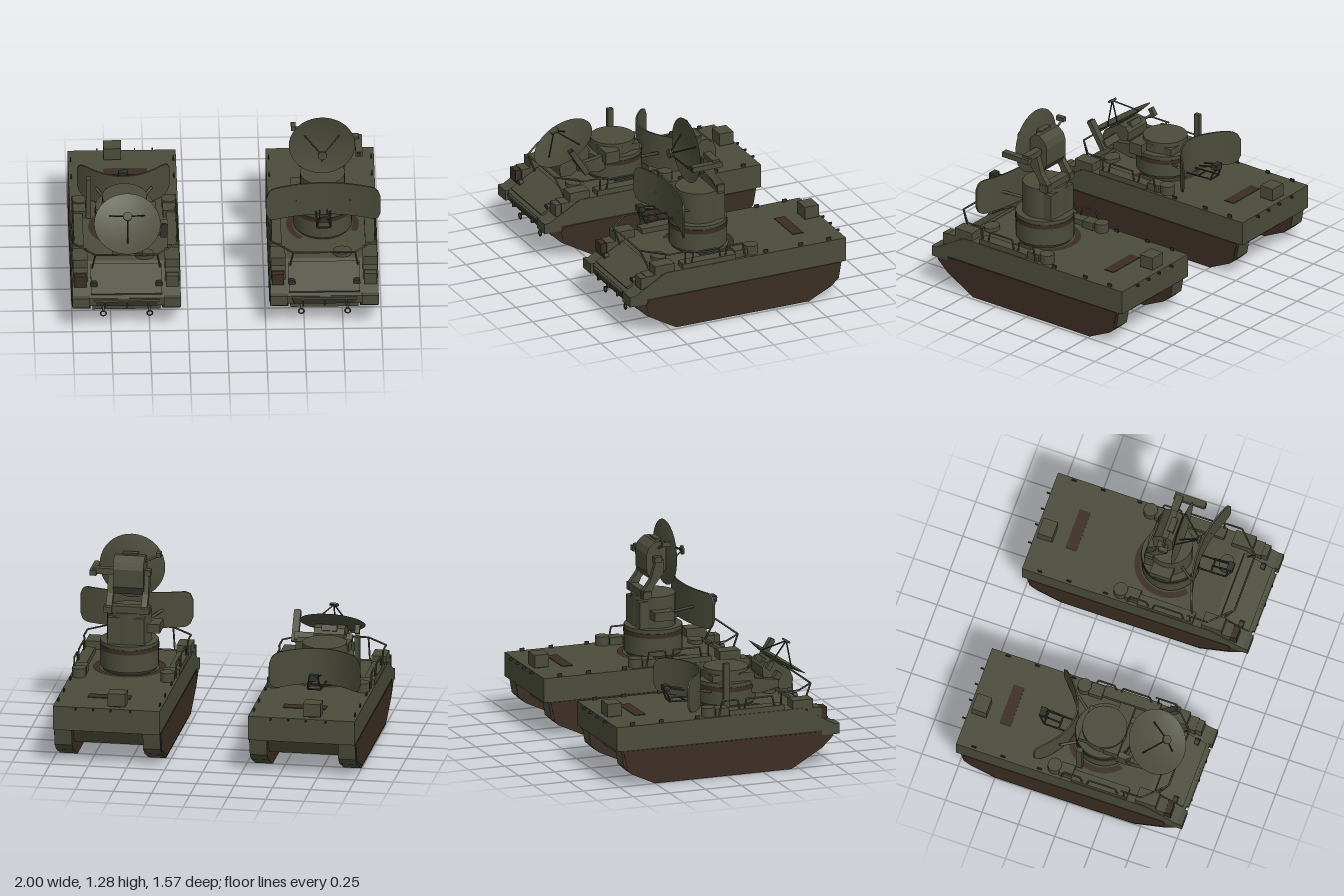
import * as THREE from 'three';

const mat = (name, color) => {
  const m = new THREE.MeshStandardMaterial({ color, side: THREE.DoubleSide });
  m.name = name;
  return m;
};
const olive = mat('olive', 0x4b4c3b);
const brown = mat('brown', 0x3b2d23);
const dark = mat('dark olive', 0x30312a);

function add(parent, name, geometry, material, x = 0, y = 0, z = 0) {
  const m = new THREE.Mesh(geometry, material);
  m.name = name;
  m.position.set(x, y, z);
  parent.add(m);
  return m;
}

// box given by its min and max on each axis
function box(parent, name, x0, x1, y0, y1, z0, z1, material = olive) {
  return add(parent, name, new THREE.BoxGeometry(x1 - x0, y1 - y0, z1 - z0), material,
    (x0 + x1) / 2, (y0 + y1) / 2, (z0 + z1) / 2);
}

// side profile of [z, y] points, extruded across x and centred
function sideProfile(points, width) {
  const shape = new THREE.Shape(points.map(p => new THREE.Vector2(...p)));
  const g = new THREE.ExtrudeGeometry(shape, { depth: width, bevelEnabled: false });
  return g.translate(0, 0, -width / 2).rotateY(-Math.PI / 2);
}

// chain of straight tubes through points
function pipe(parent, name, points, r = 0.005, material = olive) {
  for (let i = 1; i < points.length; i++) {
    const a = new THREE.Vector3(...points[i - 1]), b = new THREE.Vector3(...points[i]);
    const m = add(parent, name, new THREE.CylinderGeometry(r, r, a.distanceTo(b), 6), material);
    m.position.copy(a).lerp(b, 0.5);
    m.quaternion.setFromUnitVectors(new THREE.Vector3(0, 1, 0), b.sub(a).normalize());
  }
}

function cylinder(parent, name, r, y0, y1, x, z, material = olive, sides = 32) {
  return add(parent, name, new THREE.CylinderGeometry(r, r, y1 - y0, sides), material, x, (y0 + y1) / 2, z);
}

// hull, tracks and deck fittings
function makeVehicle(name, x) {
  const v = new THREE.Group();
  v.name = name;
  v.position.x = x;
  add(v, 'upperHull', sideProfile([[-0.766, 0.24], [0.66, 0.24], [0.7, 0.205], [0.76, 0.205],
    [0.765, 0.265], [0.525, 0.4], [-0.766, 0.4]], 0.7), olive);
  add(v, 'belly', sideProfile([[-0.7, 0.24], [-0.62, 0.12], [0.62, 0.12], [0.7, 0.22], [0.66, 0.24]], 0.47), olive);
  const track = [[-0.735, 0.24], [-0.715, 0.125], [-0.66, 0.075], [-0.5, 0], [0.45, 0], [0.66, 0.12],
    [0.74, 0.195], [0.72, 0.24]];
  const panel = [[-0.72, 0.235], [-0.69, 0.11], [-0.49, 0.015], [0.44, 0.015], [0.65, 0.14],
    [0.665, 0.2], [0.64, 0.23]];
  for (const s of [-1, 1]) {
    const side = (a, b) => s > 0 ? [a, b] : [-b, -a];
    add(v, 'track', sideProfile(track, 0.114), [brown, olive], s * 0.29);
    add(v, 'trackSkirt', sideProfile(panel, 0.006), brown, s * 0.348);
    box(v, 'frontFender', ...side(0.24, 0.35), 0.205, 0.275, 0.66, 0.783);
    box(v, 'lampBase', ...side(0.25, 0.345), 0.29, 0.395, 0.56, 0.66);
    box(v, 'lampBox', ...side(0.26, 0.34), 0.31, 0.39, 0.63, 0.7, s < 0 ? brown : olive);
    box(v, 'cornerLocker', ...side(0.25, 0.345), 0.39, 0.455, 0.46, 0.6);
    box(v, 'sideLocker', ...side(0.27, 0.345), 0.39, 0.435, 0.02, 0.4);
    cylinder(v, 'ventPot', 0.046, 0.39, 0.46, s * 0.29, -0.11, olive, 20);
    box(v, 'ventBox', ...side(0.25, 0.33), 0.39, 0.45, -0.07, 0.02);
    // headlamps and tow hooks
    const lamp = cylinder(v, 'headlamp', 0.022, 0, 0.03, s * 0.21, 0, dark, 14);
    lamp.position.set(s * 0.21, 0.325, 0.69);
    lamp.rotation.x = Math.PI / 2;
    add(v, 'towHook', new THREE.TorusGeometry(0.018, 0.005, 6, 12), dark, s * 0.15, 0.12, 0.72);
    pipe(v, 'towArm', [[s * 0.15, 0.18, 0.66], [s * 0.15, 0.13, 0.715]], 0.009, dark);
    // side guard rails
    for (const [z0, z1] of [[0.34, 0.12], [0.1, -0.05]])
      pipe(v, 'sideRail', [[s * 0.335, 0.4, z0], [s * 0.335, 0.5, z0 - 0.02],
        [s * 0.335, 0.5, z1 + 0.02], [s * 0.335, 0.4, z1]], 0.006);
    pipe(v, 'railPost', [[s * 0.2, 0.52, 0.64], [s * 0.22, 0.38, 0.58]], 0.006);
    pipe(v, 'railPost', [[s * 0.34, 0.52, 0.38], [s * 0.335, 0.4, 0.38]], 0.006);
    for (const z of [-0.65, -0.45, -0.2]) box(v, 'deckPeg', ...side(0.328, 0.336), 0.4, 0.42, z - 0.015, z + 0.015, dark);
  }
  pipe(v, 'frontRail', [[-0.34, 0.52, 0.36], [-0.34, 0.52, 0.5], [-0.2, 0.52, 0.64], [0.2, 0.52, 0.64],
    [0.34, 0.52, 0.5], [0.34, 0.52, 0.36]], 0.006);
  // nose and sloping front plate
  const vane = box(v, 'frontPlate', -0.23, 0.23, -0.008, 0.008, -0.11, 0.11);
  vane.position.set(0, 0.338, 0.65);
  vane.rotation.x = 0.51;
  box(v, 'noseRecess', -0.2, 0.2, 0.207, 0.245, 0.76, 0.766, dark);
  box(v, 'noseLip', -0.21, 0.21, 0.245, 0.262, 0.755, 0.78);
  box(v, 'noseSill', -0.22, 0.22, 0.12, 0.18, 0.62, 0.67);
  for (const sx of [-0.14, 0, 0.14]) box(v, 'noseBracket', sx - 0.006, sx + 0.006, 0.2, 0.25, 0.755, 0.78, dark);
  // deck hatches, rear box and painted patch
  const hatch = cylinder(v, 'driverHatch', 0.06, 0.4, 0.425, 0.12, 0.47, olive, 20);
  hatch.scale.z = 0.8;
  box(v, 'rearBox', -0.12, -0.005, 0.41, 0.495, -0.74, -0.64);
  box(v, 'rearBoxFoot', -0.09, -0.035, 0.4, 0.41, -0.72, -0.66, dark);
  box(v, 'deckPatch', -0.12, 0.16, 0.398, 0.404, -0.55, -0.475, brown);
  for (const px of [-0.16, -0.03, 0.085, 0.2]) box(v, 'rearPeg', px - 0.004, px + 0.004, 0.385, 0.4, -0.79, -0.76, dark);
  // painted ring around the turret
  add(v, 'deckRing', new THREE.RingGeometry(0.195, 0.235, 36, 1, -0.4, 4.4).rotateX(-Math.PI / 2), brown, 0, 0.404, 0.13);
  return v;
}

// rotating base and tower, up to the given heights
function addTurret(v, baseTop, towerTop) {
  cylinder(v, 'turretRing', 0.175, 0.4, 0.43, 0, 0.13, dark);
  cylinder(v, 'turretBase', 0.19, 0.42, baseTop, 0, 0.13);
  cylinder(v, 'turretBand', 0.193, baseTop - 0.055, baseTop - 0.025, 0, 0.13, brown);
  cylinder(v, 'tower', 0.145, baseTop, towerTop, 0, 0.13);
  box(v, 'towerLocker', -0.12, 0.12, baseTop - 0.01, towerTop - 0.03, -0.01, 0.1);
}

// curved search reflector facing +z, with its feed on a frame
function makeSearchAntenna(halfWidth, depth) {
  const g = new THREE.Group();
  g.name = 'searchAntenna';
  const h = 0.12, r = 0.06, geo = new THREE.BoxGeometry(2 * halfWidth, 2 * h, 0.012, 48, 1, 1);
  const p = geo.attributes.position;
  for (let i = 0; i < p.count; i++) {
    const x = p.getX(i), d = Math.max(0, Math.abs(x) - halfWidth + r);
    p.setY(i, Math.sign(p.getY(i)) * (h - r + Math.sqrt(Math.max(0, r * r - d * d))));
    p.setZ(i, p.getZ(i) + depth * (x / halfWidth) ** 2);
  }
  geo.computeVertexNormals();
  add(g, 'searchReflector', geo, olive);
  for (const s of [-1, 1]) {
    pipe(g, 'feedFrame', [[s * 0.045, -0.1, 0], [s * 0.045, -0.09, 0.2], [s * 0.025, 0, 0.24],
      [s * 0.025, -0.03, 0.1]], 0.006, dark);
    pipe(g, 'reflectorBrace', [[s * 0.18, 0, depth * 0.25], [s * 0.06, -0.06, -0.12]], 0.01);
  }
  for (const z of [0.1, 0.2]) pipe(g, 'feedRung', [[-0.045, -0.095, z], [0.045, -0.095, z]], 0.006, dark);
  box(g, 'feedHorn', -0.03, 0.03, -0.03, 0.01, 0.2, 0.24, dark);
  return g;
}

// tracking dish facing +z, with its drive housing and sights
function makeTrackingHead() {
  const g = new THREE.Group();
  g.name = 'trackingHead';
  const profile = [0, 0.06, 0.12, 0.17, 0.215].map(r => new THREE.Vector2(r, 0.03 * (r / 0.215) ** 2 - 0.015));
  add(g, 'dish', new THREE.LatheGeometry(profile, 40).rotateX(Math.PI / 2), olive);
  add(g, 'feedDisc', new THREE.CylinderGeometry(0.03, 0.03, 0.012, 18).rotateX(Math.PI / 2), olive, 0, 0, 0.135);
  for (const a of [-90, 30, 150]) {
    const t = a * Math.PI / 180;
    pipe(g, 'feedStrut', [[0, 0, 0.135], [Math.cos(t) * 0.13, Math.sin(t) * 0.13, 0]], 0.005, dark);
  }
  add(g, 'driveHousing', sideProfile([[-0.015, -0.08], [-0.05, -0.13], [-0.11, -0.155], [-0.15, -0.1],
    [-0.152, 0.02], [-0.135, 0.065], [-0.09, 0.1], [-0.05, 0.1], [-0.015, 0.06]], 0.2), olive);
  box(g, 'housingCap', -0.05, 0.05, 0.07, 0.11, -0.07, -0.03);
  box(g, 'sightBar', -0.14, 0.24, -0.03, 0.01, -0.11, -0.06);
  box(g, 'sightBox', 0.215, 0.26, -0.04, -0.005, -0.12, 0.09);
  box(g, 'sightLens', 0.222, 0.252, -0.036, -0.01, 0.09, 0.096, dark);
  box(g, 'sideSight', -0.2, -0.17, 0.09, 0.12, -0.08, -0.02);
  pipe(g, 'sideSightArm', [[-0.08, 0.05, -0.07], [-0.185, 0.1, -0.06]], 0.008);
  return g;
}

export function createModel() {
  const root = new THREE.Group();
  root.name = 'radarVehiclePair';

  // vehicle with both antennas raised
  const raised = makeVehicle('raisedVehicle', 0.63);
  addTurret(raised, 0.595, 0.805);
  const search = makeSearchAntenna(0.37, 0.085);
  search.position.set(0, 0.73, 0.322);
  raised.add(search);
  const head = makeTrackingHead();
  head.position.set(-0.005, 1.065, 0.195);
  raised.add(head);
  for (const s of [-1, 1])
    add(raised, 'yokeArm', sideProfile([[0, 0.8], [0.05, 0.8], [0.085, 0.88], [0.15, 0.96], [0.15, 1.05],
      [0.1, 1.05], [0.06, 0.92], [0, 0.84]], 0.04), olive, s * 0.115);
  box(raised, 'yokeFoot', -0.15, 0.15, 0.8, 0.85, 0.005, 0.06);
  box(raised, 'towerStep', -0.21, -0.1, 0.66, 0.72, 0.06, 0.2);
  root.add(raised);

  // vehicle with both antennas folded down
  const folded = makeVehicle('foldedVehicle', -0.65);
  addTurret(folded, 0.565, 0.64);
  const foldedSearch = makeSearchAntenna(0.3, 0.18);
  foldedSearch.position.set(0, 0.54, -0.07);
  foldedSearch.rotation.y = Math.PI;
  folded.add(foldedSearch);
  const foldedHead = makeTrackingHead();
  foldedHead.position.set(0.01, 0.645, 0.48);
  foldedHead.rotation.x = -1.0;
  folded.add(foldedHead);
  for (const s of [-1, 1])
    add(folded, 'yokeArm', sideProfile([[0.12, 0.52], [0.3, 0.47], [0.44, 0.5], [0.44, 0.55], [0.3, 0.57], [0.12, 0.62]],
      0.04), olive, s * 0.125);
  box(folded, 'yokeFoot', -0.15, 0.2, 0.54, 0.62, 0.17, 0.27);
  box(folded, 'towerFin', -0.245, -0.215, 0.42, 0.72, 0.02, 0.06);
  root.add(folded);
  return root;
}
